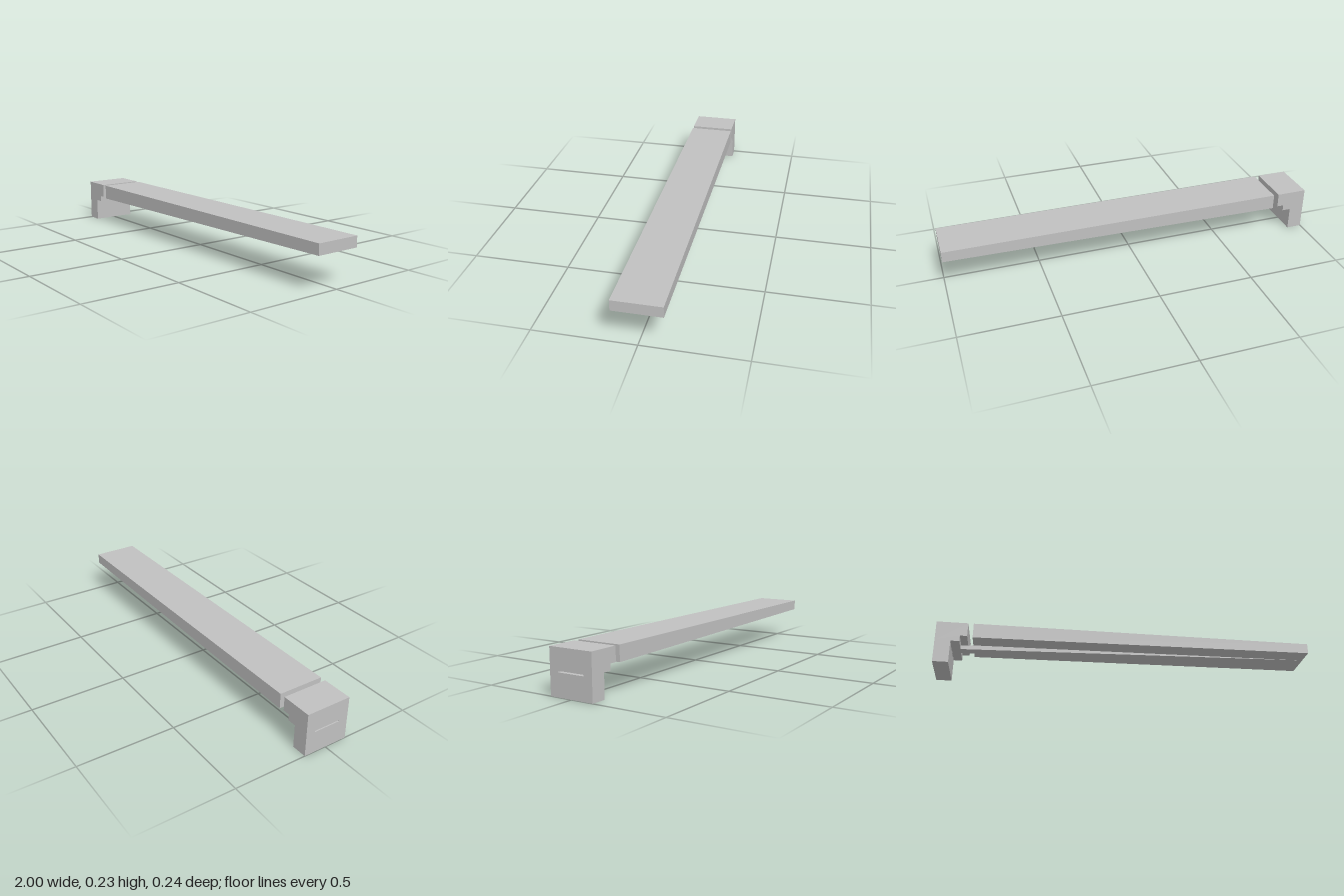
import * as THREE from 'three';

const HALF = 0.12; // half width of plank and bracket

export function createModel() {
  const group = new THREE.Group();
  const grey = new THREE.MeshStandardMaterial({ color: 0xc0c0c0 });
  grey.name = 'grey';

  // extrude a side profile (x, y) between two z positions
  const slab = (name, points, z0 = -HALF, z1 = HALF) => {
    const shape = new THREE.Shape(points.map(([x, y]) => new THREE.Vector2(x, y)));
    const geo = new THREE.ExtrudeGeometry(shape, { depth: z1 - z0, bevelEnabled: false });
    geo.translate(0, 0, z0);
    const mesh = new THREE.Mesh(geo, grey);
    mesh.name = name;
    group.add(mesh);
  };
  const rect = (x0, x1, y0, y1) => [[x0, y0], [x1, y0], [x1, y1], [x0, y1]];

  // end bracket: leg, slotted layer and stepped head
  slab('bracketLeg', rect(-1, -0.92, 0, 0.114));
  slab('slotCheekFront', rect(-1, -0.92, 0.114, 0.121), 0.072, HALF);
  slab('slotCheekBack', rect(-1, -0.92, 0.114, 0.121), -HALF, -0.072);
  slab('slotTab', rect(-0.97, -0.92, 0.115, 0.121), -0.02, 0.002);
  slab('bracketHead', [
    [-1, 0.121], [-0.875, 0.121], [-0.875, 0.153],
    [-0.838, 0.153], [-0.838, 0.227], [-1, 0.227],
  ]);

  // long plank, its underside rising towards the tip
  slab('plank', [[-0.81, 0.147], [1, 0.172], [1, 0.227], [-0.81, 0.227]]);

  // narrow tapered rib joining the bracket to the underside of the plank
  slab('rib', [
    [-0.885, 0.121], [0.98, 0.1715], [0.98, 0.18], [-0.81, 0.15], [-0.82, 0.145], [-0.885, 0.14],
  ], -0.025, 0.025);

  return group;
}
